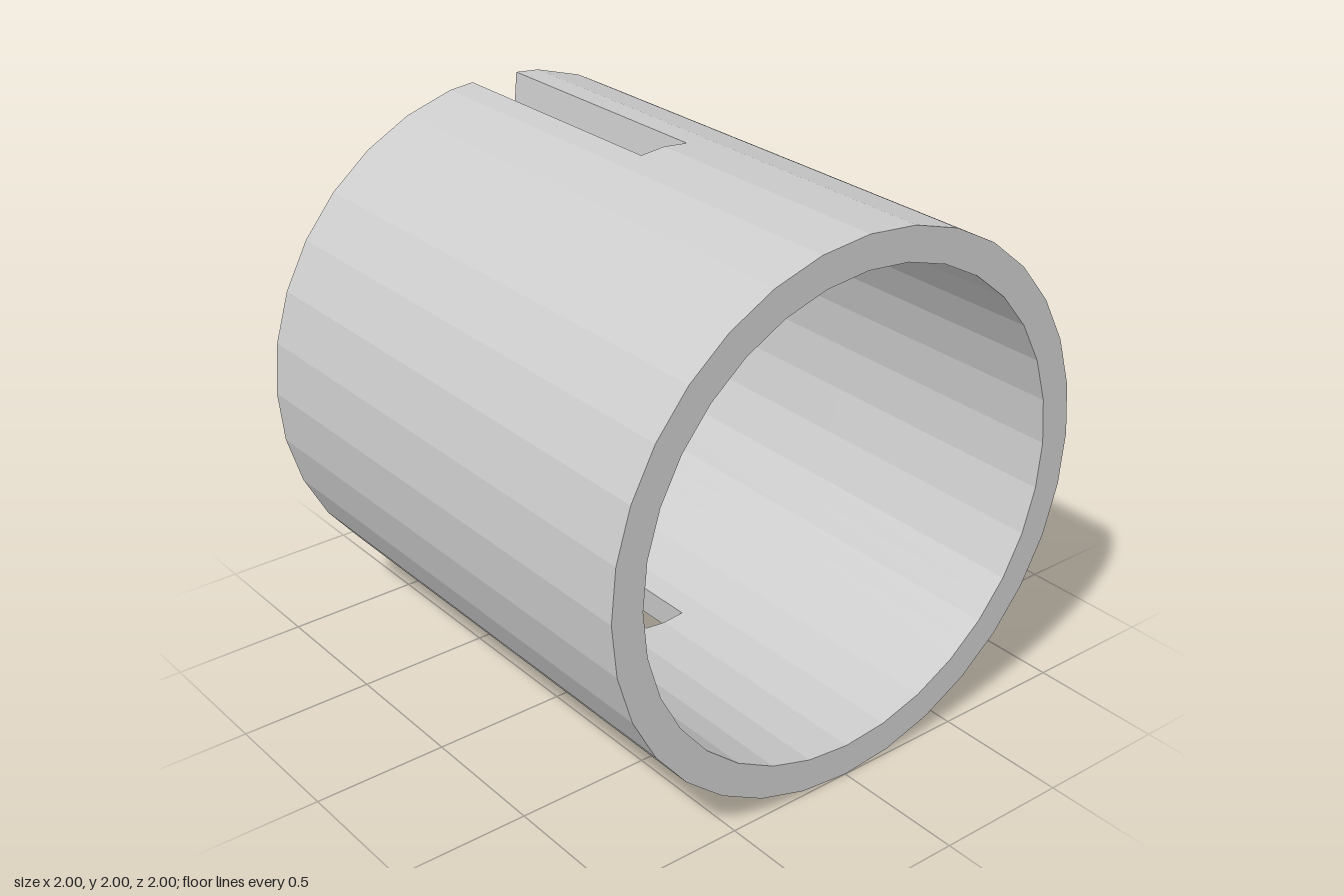
import * as THREE from 'three';

const SIDES = 32, OUTER = 1, INNER = 0.88, FRONT = 1, BACK = -1, SLOT_END = 0;

export function createModel() {
  const group = new THREE.Group();
  group.name = 'slottedSleeve';

  const positions = [];
  const quad = (a, b, c, d) => {
    for (const p of [a, b, c, a, c, d]) positions.push(...p);
  };

  // Point on the polygonal wall at a (possibly half) step around the ring
  const corner = (step) => {
    const angle = (step / SIDES) * Math.PI * 2;
    return [Math.cos(angle), Math.sin(angle)];
  };
  const point = (step, r, z) => {
    const k = Math.floor(step), t = step - k;
    const [ax, ay] = corner(k), [bx, by] = corner(k + 1);
    return [r * (ax + (bx - ax) * t), 1 + r * (ay + (by - ay) * t), z];
  };

  // Half steps around the ring; the slots take half a step each side of top and bottom
  const slotCentres = [SIDES / 4, (SIDES * 3) / 4];
  for (let a = 0; a < SIDES; a += 0.5) {
    const b = a + 0.5;
    const slotted = slotCentres.some((c) => Math.abs(a + 0.25 - c) < 0.5);
    const back = slotted ? SLOT_END : BACK;

    // Outer and inner skins, split at the slot end
    const bands = slotted ? [[SLOT_END, FRONT]] : [[BACK, SLOT_END], [SLOT_END, FRONT]];
    for (const [z0, z1] of bands) {
      quad(point(a, OUTER, z0), point(b, OUTER, z0), point(b, OUTER, z1), point(a, OUTER, z1));
      quad(point(a, INNER, z1), point(b, INNER, z1), point(b, INNER, z0), point(a, INNER, z0));
    }

    // Front rim, and back rim or slot floor
    quad(point(a, INNER, FRONT), point(a, OUTER, FRONT), point(b, OUTER, FRONT), point(b, INNER, FRONT));
    quad(point(b, INNER, back), point(b, OUTER, back), point(a, OUTER, back), point(a, INNER, back));
  }

  // Radial side walls of both slots
  for (const c of slotCentres) {
    const wall = (s) => [
      point(s, INNER, BACK), point(s, INNER, SLOT_END), point(s, OUTER, SLOT_END), point(s, OUTER, BACK),
    ];
    quad(...wall(c - 0.5));
    quad(...wall(c + 0.5).reverse());
  }

  const geometry = new THREE.BufferGeometry();
  geometry.setAttribute('position', new THREE.Float32BufferAttribute(positions, 3));
  geometry.computeVertexNormals();

  const sleeve = new THREE.Mesh(
    geometry,
    new THREE.MeshStandardMaterial({ color: 0xcccccc, flatShading: true }),
  );
  sleeve.name = 'sleeve';
  group.add(sleeve);
  return group;
}
